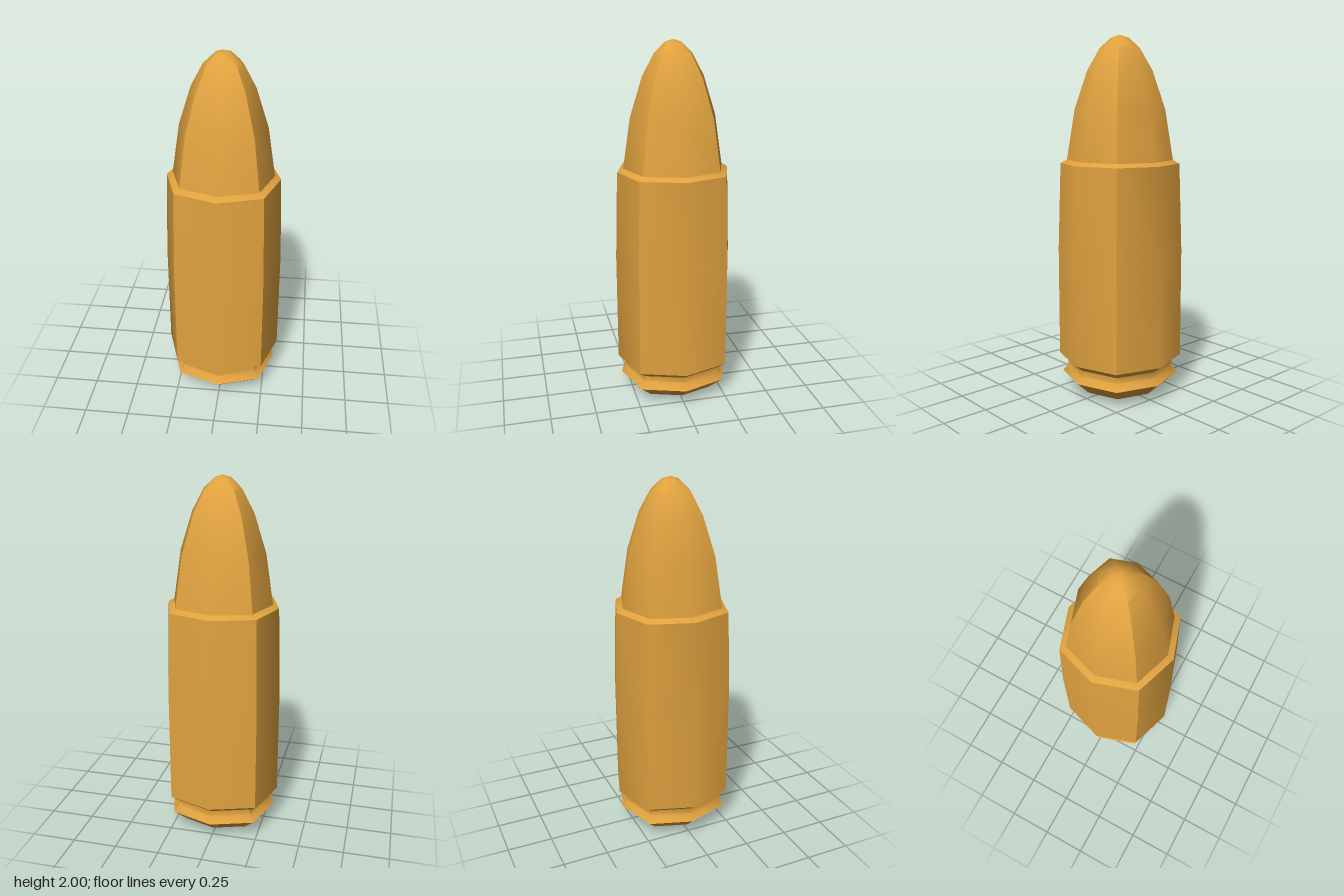
import * as THREE from 'three';
import { toCreasedNormals } from 'three/addons/utils/BufferGeometryUtils.js';

const brass = new THREE.MeshStandardMaterial({ color: 0xe0a23f });
brass.name = 'brass';

// Eight-sided turned part; the diagonal corners stand out a little further
function turned(name, profile) {
  const points = profile.map(([r, y]) => new THREE.Vector2(r, y));
  const lathe = new THREE.LatheGeometry(points, 8);
  const pos = lathe.attributes.position;
  for (let i = 0; i < pos.count; i++) {
    const x = pos.getX(i), z = pos.getZ(i);
    const diagonal = Math.min(Math.abs(x), Math.abs(z)) > 1e-4;
    const s = diagonal ? 1.062 : 1;
    pos.setX(i, x * s);
    pos.setZ(i, z * s);
  }
  const mesh = new THREE.Mesh(toCreasedNormals(lathe, 0.76), brass);
  mesh.name = name;
  return mesh;
}

export function createModel() {
  const group = new THREE.Group();
  group.name = 'cartridge';

  // Base: shallow cone underside, flared rim, groove and collar bevel
  group.add(turned('rim', [
    [0, 0], [0.233, 0.03], [0.31, 0.1], [0.28, 0.138], [0.283, 0.172], [0.327, 0.207],
  ]));

  // Case: straight walls, tapering slightly above the middle
  group.add(turned('case', [
    [0.327, 0.207], [0.327, 0.82], [0.311, 1.306],
  ]));

  // Narrow shoulder where the nose is seated
  group.add(turned('shoulder', [[0.311, 1.306], [0.277, 1.325]]));

  // Rounded nose
  group.add(turned('nose', [
    [0.277, 1.325], [0.235, 1.6], [0.168, 1.81], [0.103, 1.93], [0.045, 1.985], [0, 2],
  ]));

  return group;
}
